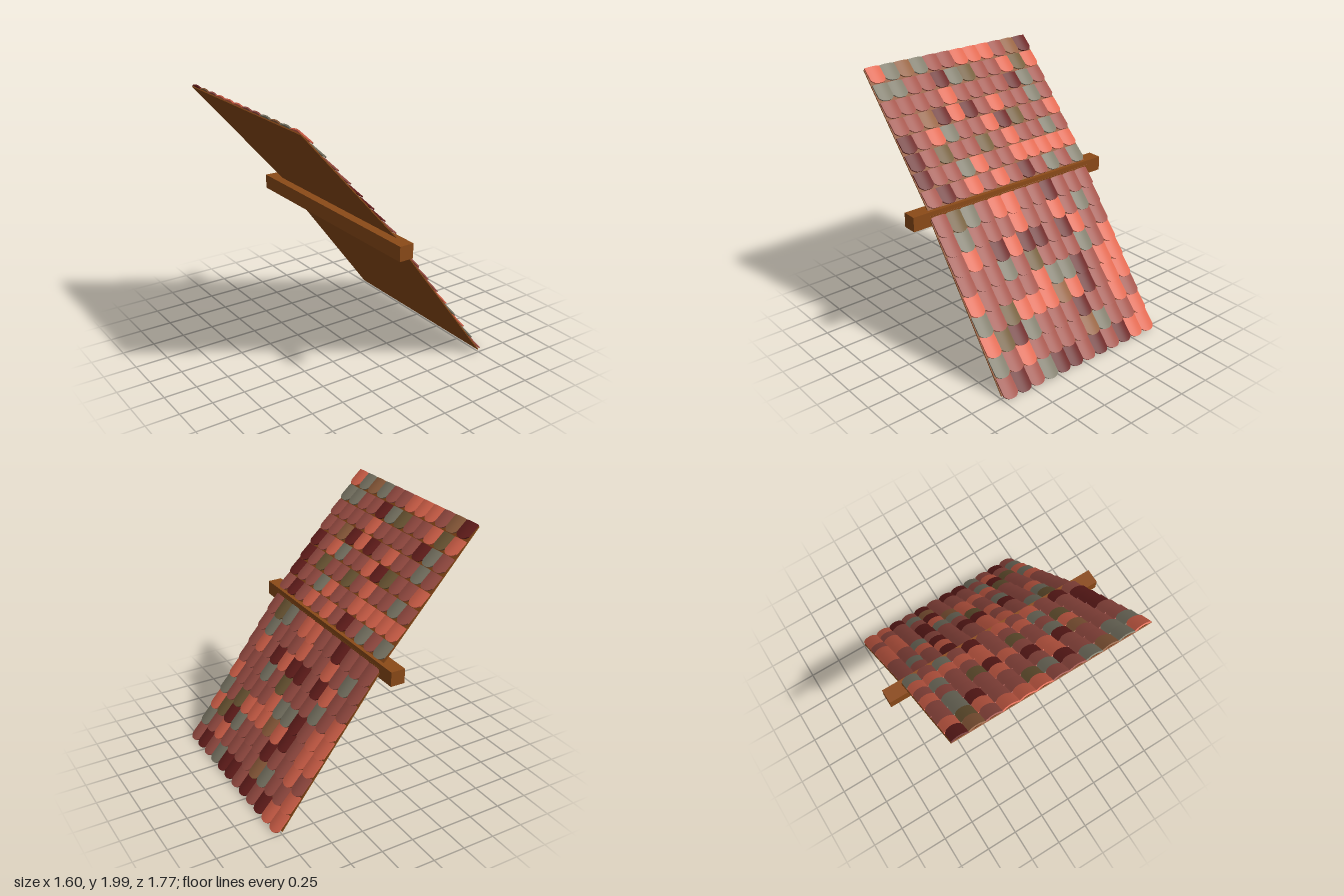
import * as THREE from 'three';

const material = (color) => new THREE.MeshStandardMaterial({ color });
const wood = material(0x8b4a18);
const glaze = {
  c: material(0xe0674e), m: material(0xa35248), d: material(0x6b201e),
  g: material(0x807c6a), b: material(0x96623f), o: material(0x735c37),
};

// Tile colours, one string per course from the ridge down, running from +z to -z
const upperCourses = [
  'cgbgmmcccmbd', 'ggmmdgommcoc', 'mmmmcmmmmdgm', 'mmbdcdmcmmgm',
  'dmcgmmcdommc', 'dmommomcmmgm', 'dmmgcmmccccc', 'mdmcmcmdmgmg',
];
const lowerCourses = [
  'mogmccmmdmmm', 'mgmmmcmmcmgm', 'mcmdcddmdcmm', 'mmmgmommmgmc',
  'cmmmmcggdmcc', 'gmocccbcdmcc', 'codgmmmdmmcm', 'gmcmmmmbgmmc', 'mdmgddmdmdcc',
];

const COLUMNS = 12;
const TILE_WIDTH = 1.48 / COLUMNS;

// Arched tile with a rounded tail; its head is at y = 0 and x is the slope's normal
function tileGeometry(length) {
  const geometry = new THREE.BoxGeometry(0.01, length, TILE_WIDTH, 1, 1, 10);
  const p = geometry.attributes.position;
  for (let i = 0; i < p.count; i++) {
    const u = Math.abs(p.getZ(i)) / (TILE_WIDTH / 2);
    const tail = p.getY(i) < 0;
    const arch = 0.01 * (1 - u * u);
    const lift = tail ? 0.018 : 0.006;
    const y = tail ? -length + 0.033 * Math.pow(u, 3) : 0;
    p.setXYZ(i, p.getX(i) + 0.005 + lift + arch, y, p.getZ(i));
  }
  geometry.computeVertexNormals();
  return geometry;
}

// One roof plane: a thin board carrying overlapping courses of tiles
function roofSlope(name, { top, bottom, courses, firstTail, pitch, tileLength }) {
  const slope = new THREE.Group();
  slope.name = name;
  const dx = bottom[0] - top[0];
  const dy = top[1] - bottom[1];
  const length = Math.hypot(dx, dy);
  slope.position.set(top[0], top[1], 0);
  slope.rotation.z = Math.atan2(dx, dy);

  const board = new THREE.Mesh(new THREE.BoxGeometry(0.008, length, 1.49), wood);
  board.name = 'roofBoard';
  board.position.set(0.004, -length / 2, 0);
  slope.add(board);

  const geometry = tileGeometry(tileLength);
  courses.forEach((course, row) => {
    const group = new THREE.Group();
    group.name = 'tileCourse';
    group.position.y = tileLength - firstTail - row * pitch;
    [...course].forEach((key, column) => {
      const tile = new THREE.Mesh(geometry, glaze[key]);
      tile.name = 'roofTile';
      tile.position.z = 0.74 - (column + 0.5) * TILE_WIDTH;
      group.add(tile);
    });
    slope.add(group);
  });
  return slope;
}

export function createModel() {
  const model = new THREE.Group();
  model.name = 'roofSection';

  model.add(roofSlope('upperSlope', {
    top: [-0.80, 1.978], bottom: [-0.03, 1.10], courses: upperCourses,
    firstTail: 0.133, pitch: 0.1417, tileLength: 0.14,
  }));
  model.add(roofSlope('lowerSlope', {
    top: [-0.03, 1.068], bottom: [0.745, 0.025], courses: lowerCourses,
    firstTail: 0.146, pitch: 0.1495, tileLength: 0.165,
  }));

  // Supporting beam under the bend in the roof
  const beam = new THREE.Mesh(new THREE.BoxGeometry(0.11, 0.11, 1.77), wood);
  beam.name = 'supportBeam';
  beam.position.set(-0.08, 1.085, 0);
  model.add(beam);

  return model;
}
